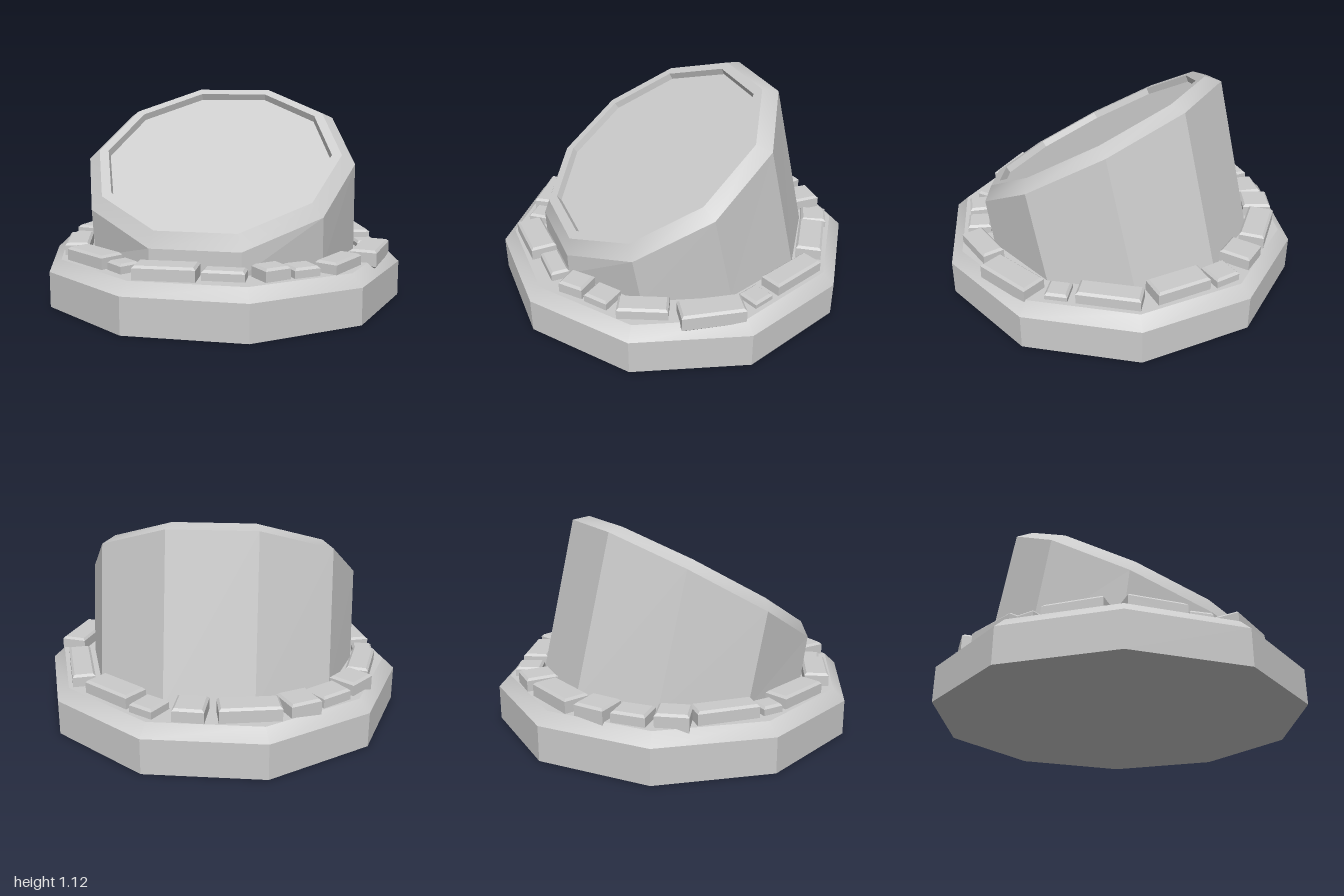
import * as THREE from 'three';

const SIDES = 10;
const material = new THREE.MeshStandardMaterial({ color: 0xcccccc });

// Ten-sided ring of points, tilted forward and lifted along its own axis
function ring(r, y, z = 0, tilt = 0, lift = 0) {
  const c = Math.cos(tilt), s = Math.sin(tilt);
  return Array.from({ length: SIDES }, (_, k) => {
    const a = (k / SIDES) * Math.PI * 2;
    const d = r * Math.sin(a);
    return new THREE.Vector3(r * Math.cos(a), y - d * s + lift * c, z + d * c + lift * s);
  });
}

// Band of quads from one ring to the next; smooth bands blend around the corners
function band(name, from, to, smooth = false) {
  const index = [];
  for (let k = 0; k < SIDES; k++) {
    const n = (k + 1) % SIDES;
    index.push(k, k + SIDES, n, n, k + SIDES, n + SIDES);
  }
  return surface(name, [...from, ...to], index, smooth);
}

// Flat cap filling a ring
function cap(name, points, up) {
  const index = [];
  for (let k = 1; k < SIDES - 1; k++) index.push(0, ...(up ? [k + 1, k] : [k, k + 1]));
  return surface(name, points, index, true);
}

function surface(name, points, index, smooth) {
  let geo = new THREE.BufferGeometry().setFromPoints(points);
  geo.setIndex(index);
  if (!smooth) geo = geo.toNonIndexed();
  geo.computeVertexNormals();
  const mesh = new THREE.Mesh(geo, material);
  mesh.name = name;
  return mesh;
}

function group(name, ...parts) {
  const g = new THREE.Group();
  g.name = name;
  g.add(...parts);
  return g;
}

// Block with chamfered edges, sunk slightly into the base
function stone([x, z, length, width, degrees, top]) {
  const b = 0.012, w = length / 2 - b, d = width / 2 - b, bottom = 0.22;
  const shape = new THREE.Shape([[-w, -d], [w, -d], [w, d], [-w, d]].map(p => new THREE.Vector2(...p)));
  const geo = new THREE.ExtrudeGeometry(shape, {
    depth: top - bottom - 2 * b, bevelSize: b, bevelThickness: b, bevelSegments: 1,
  });
  geo.translate(0, 0, b).rotateX(-Math.PI / 2);
  const mesh = new THREE.Mesh(geo, material);
  mesh.name = 'stone';
  mesh.position.set(x, bottom, z);
  mesh.rotation.y = -THREE.MathUtils.degToRad(degrees);
  return mesh;
}

// x, z, length, width, heading, top height
const STONES = [
  [0.08, -0.80, 0.16, 0.17, 3, 0.32], [0.29, -0.77, 0.14, 0.14, 30, 0.30],
  [0.49, -0.625, 0.30, 0.14, 35, 0.32], [0.73, -0.365, 0.33, 0.12, 72, 0.315],
  [0.81, -0.11, 0.12, 0.12, 72, 0.285], [0.84, 0.155, 0.33, 0.14, 102, 0.315],
  [0.685, 0.46, 0.26, 0.12, 116, 0.31], [0.51, 0.615, 0.14, 0.13, 145, 0.30],
  [0.375, 0.71, 0.14, 0.13, 140, 0.315], [0.16, 0.77, 0.21, 0.10, 179, 0.30],
  [-0.12, 0.80, 0.31, 0.14, 178, 0.32], [-0.365, 0.705, 0.12, 0.11, 40, 0.30],
  [-0.56, 0.58, 0.30, 0.13, 35, 0.32], [-0.755, 0.285, 0.31, 0.13, 74, 0.315],
  [-0.82, 0.065, 0.11, 0.11, 90, 0.295], [-0.79, -0.165, 0.32, 0.12, 102, 0.32],
  [-0.72, -0.41, 0.17, 0.15, 128, 0.32], [-0.595, -0.565, 0.18, 0.14, 140, 0.31],
  [-0.445, -0.685, 0.17, 0.16, 150, 0.32], [-0.205, -0.785, 0.31, 0.14, 170, 0.325],
];

export function createModel() {
  const model = new THREE.Group();
  model.name = 'pedestal';

  // Wide base with a chamfered top edge
  const foot = ring(1, 0), shoulder = ring(1, 0.19), deck = ring(0.935, 0.25);
  model.add(group('base',
    cap('baseUnderside', foot, false),
    band('baseSides', foot, shoulder),
    band('baseChamfer', shoulder, deck, true),
    cap('baseTop', deck, true)));

  // Column leaning forward, its tilted top holding a recessed panel
  const tilted = (r, lift) => ring(r, 0.737, 0.105, 0.542, lift);
  const outer = tilted(0.75, 0), rim = tilted(0.68, 0.06);
  const lip = tilted(0.627, 0.06), floor = tilted(0.622, 0.022);
  model.add(group('column',
    band('columnSides', ring(0.75, 0.25), outer),
    band('columnChamfer', outer, rim, true),
    band('rim', rim, lip),
    band('recessWall', lip, floor),
    cap('panel', floor, true)));

  // Uneven ring of stones around the column
  model.add(group('stoneRing', ...STONES.map(stone)));
  return model;
}
